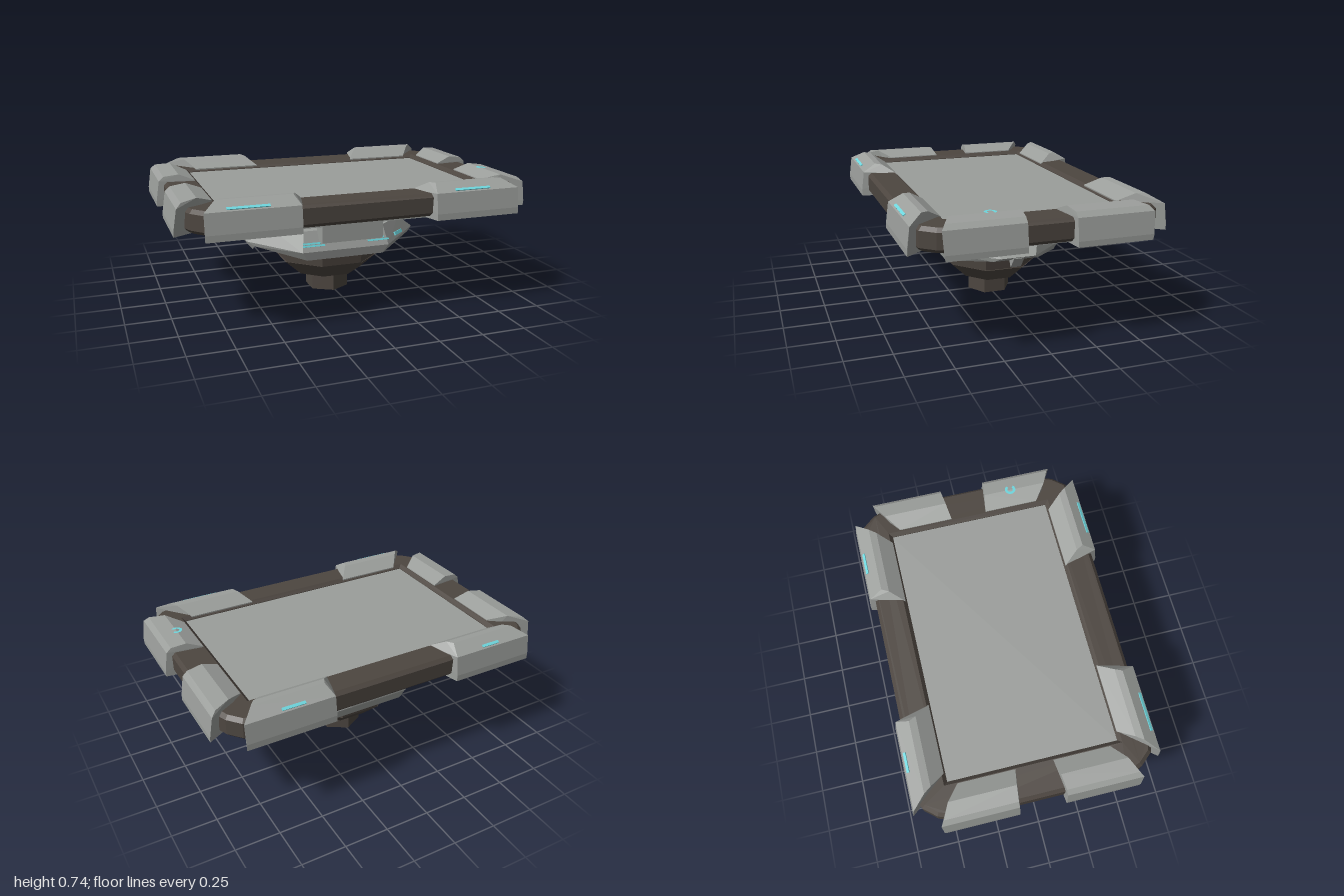
import * as THREE from 'three';
import { ConvexGeometry } from 'three/addons/geometries/ConvexGeometry.js';

const material = (name, color) => {
  const m = new THREE.MeshStandardMaterial({ color });
  m.name = name;
  return m;
};

export function createModel() {
  const grey = material('light grey armour', 0x9b9e9b);
  const dark = material('dark brown metal', 0x4d4640);
  const cyan = material('cyan light', 0x6ed6dd);
  const model = new THREE.Group();
  model.name = 'projectorTable';
  const base = new THREE.Group();
  base.name = 'base';
  base.position.set(-0.01, 0, -0.01);
  model.add(base);

  const add = (name, geometry, mat, parent = model) => {
    const mesh = new THREE.Mesh(geometry, mat);
    mesh.name = name;
    parent.add(mesh);
    return mesh;
  };
  const hull = (name, pts, mat, parent) =>
    add(name, new ConvexGeometry(pts.map((p) => new THREE.Vector3(...p))), mat, parent);
  const box = (name, w, h, d, x, y, z, mat, parent) => {
    const mesh = add(name, new THREE.BoxGeometry(w, h, d), mat, parent);
    mesh.position.set(x, y, z);
    return mesh;
  };
  const SIGNS = [[1, 1], [1, -1], [-1, 1], [-1, -1]];

  // Flat ring in the table plane: a quarter outline mirrored, with a rectangular hole
  const ring = (quarter, hx, hz, y, height, bevel) => {
    const back = [...quarter].reverse();
    const pts = [
      ...quarter,
      ...back.map(([x, z]) => [-x, z]),
      ...quarter.map(([x, z]) => [-x, -z]),
      ...back.map(([x, z]) => [x, -z]),
    ].map((p) => new THREE.Vector2(...p));
    const shape = new THREE.Shape(pts);
    const hole = [[hx, hz], [hx, -hz], [-hx, -hz], [-hx, hz]];
    shape.holes.push(new THREE.Path(hole.map((p) => new THREE.Vector2(...p))));
    const g = new THREE.ExtrudeGeometry(shape, {
      depth: height - 2 * bevel, bevelEnabled: bevel > 0, bevelThickness: bevel,
      bevelSize: bevel, bevelOffset: -bevel, bevelSegments: 1,
    });
    return g.rotateX(-Math.PI / 2).translate(0, y + bevel, 0);
  };

  // Table top
  add('tableFrame', ring([[0.955, 0.47], [0.92, 0.56], [0.86, 0.63], [0.79, 0.65]], 0.755, 0.472, 0.56, 0.125, 0.02), dark);
  box('tablePanel', 1.53, 0.05, 0.96, 0, 0.637, 0, grey);
  box('tableUnderside', 1.56, 0.03, 1, 0, 0.575, 0, dark);
  add('undersideRing', ring([[0.9, 0.42], [0.74, 0.6]], 0.7, 0.43, 0.545, 0.028, 0), grey);

  // Clamps: rows are [outward distance, height, near end, far end]
  const sideClamp = [
    [0.48, 0.545, 0.32, 0.7], [0.69, 0.545, 0.375, 0.87], [0.69, 0.58, 0.375, 0.87],
    [0.675, 0.69, 0.375, 0.87], [0.6, 0.735, 0.4, 0.8], [0.56, 0.73, 0.38, 0.77], [0.48, 0.68, 0.32, 0.71],
  ];
  const endClamp = [
    [0.77, 0.545, 0.105, 0.41], [1, 0.545, 0.13, 0.54], [1, 0.575, 0.13, 0.545],
    [0.982, 0.69, 0.13, 0.55], [0.955, 0.715, 0.13, 0.53], [0.87, 0.726, 0.12, 0.49], [0.78, 0.69, 0.105, 0.42],
  ];
  for (const [sx, sz] of SIGNS) {
    hull('sideClamp', sideClamp.flatMap(([d, y, a, b]) => [[sx * a, y, sz * d], [sx * b, y, sz * d]]), grey);
    hull('endClamp', endClamp.flatMap(([d, y, a, b]) => [[sx * d, y, sz * a], [sx * d, y, sz * b]]), grey);
  }

  // Lights on the clamps
  for (const [x, w, s] of [[-0.645, 0.22, 1], [0.595, 0.21, 1], [0.6, 0.13, -1], [-0.61, 0.11, -1]]) {
    const strip = box('clampLight', w, 0.008, 0.016, x, 0.7, s * 0.66, cyan);
    strip.rotation.x = s * 0.54;
  }
  const arc = add('clampRingLight', new THREE.RingGeometry(0.016, 0.032, 12, 1, 0.6, 4.9), cyan);
  arc.rotation.x = -Math.PI / 2;
  arc.position.set(0.87, 0.73, 0.28);

  // Brackets under the table, joining it to the base
  const bracket = new THREE.Shape(
    [[0.17, 0.55], [0.17, 0.535], [0.36, 0.48], [0.405, 0.41], [0.46, 0.41], [0.46, 0.55]].map((p) => new THREE.Vector2(...p)));
  for (const s of [1, -1]) {
    const g = new THREE.ExtrudeGeometry(bracket, { depth: 0.356, bevelEnabled: false });
    const mesh = add('bracket', g.translate(0, 0, -0.178), grey);
    mesh.rotation.y = -s * Math.PI / 2;
    mesh.position.x = -0.02;
  }

  // Foot, bowl and neck
  const drum = (name, top, bottom, y0, y1, sides, turn, sx = 1, sz = 1) => {
    const g = new THREE.CylinderGeometry(top, bottom, y1 - y0, sides).rotateY(turn);
    return add(name, g.scale(sx, 1, sz).translate(0, (y0 + y1) / 2, 0).toNonIndexed(), dark, base);
  };
  const flat = (mesh) => mesh.geometry.computeVertexNormals();
  const oct = Math.PI / 8;
  flat(drum('foot', 0.13, 0.13, 0, 0.115, 6, 0));
  flat(drum('bowlLower', 0.29, 0.185, 0.108, 0.205, 8, oct, 1.1));
  flat(drum('bowlUpper', 0.3, 0.29, 0.205, 0.29, 8, oct, 1.07));
  flat(drum('neck', 0.14, 0.27, 0.43, 0.545, 8, oct, 1.1));

  // Faceted body with pointed wings
  const level = (y, pts) => pts.flatMap(([x, z]) => SIGNS.map(([sx, sz]) => [sx * x, y, sz * z]));
  hull('body', [
    ...level(0.275, [[0.23, 0.335], [0.27, 0.15]]),
    ...level(0.325, [[0.26, 0.345], [0.48, 0.13]]),
    ...level(0.35, [[0.52, 0.1]]),
    ...level(0.437, [[0.24, 0.3], [0.4, 0.16]]),
  ], grey, base);
  for (const s of [1, -1]) {
    box('wingCap', 0.12, 0.035, 0.11, s * 0.36, 0.449, 0, grey, base);
    const tooth = [];
    for (const z of [-0.03, 0.03]) tooth.push([s * 0.525, 0.345, z], [s * 0.47, 0.278, z], [s * 0.44, 0.33, z]);
    hull('wingHook', tooth, grey, base);
  }

  // Lights on the body faces
  for (const s of [1, -1]) {
    for (const x of s > 0 ? [-0.19, 0.2] : [0]) {
      for (const [dx, dy, w] of [[-0.012, 0.009, 0.1], [0, -0.004, 0.13]]) {
        const light = box('bodyLight', w, 0.01, 0.008, x + dx, 0.361 + dy, s * (0.331 - dy * 0.4), cyan, base);
        light.rotation.x = -s * 0.39;
      }
    }
  }
  const corner = box('bodyCornerLight', 0.09, 0.02, 0.009, 0.365, 0.362, 0.244, cyan, base);
  corner.rotation.set(-0.43, 0.71, 0, 'YXZ');

  return model;
}
